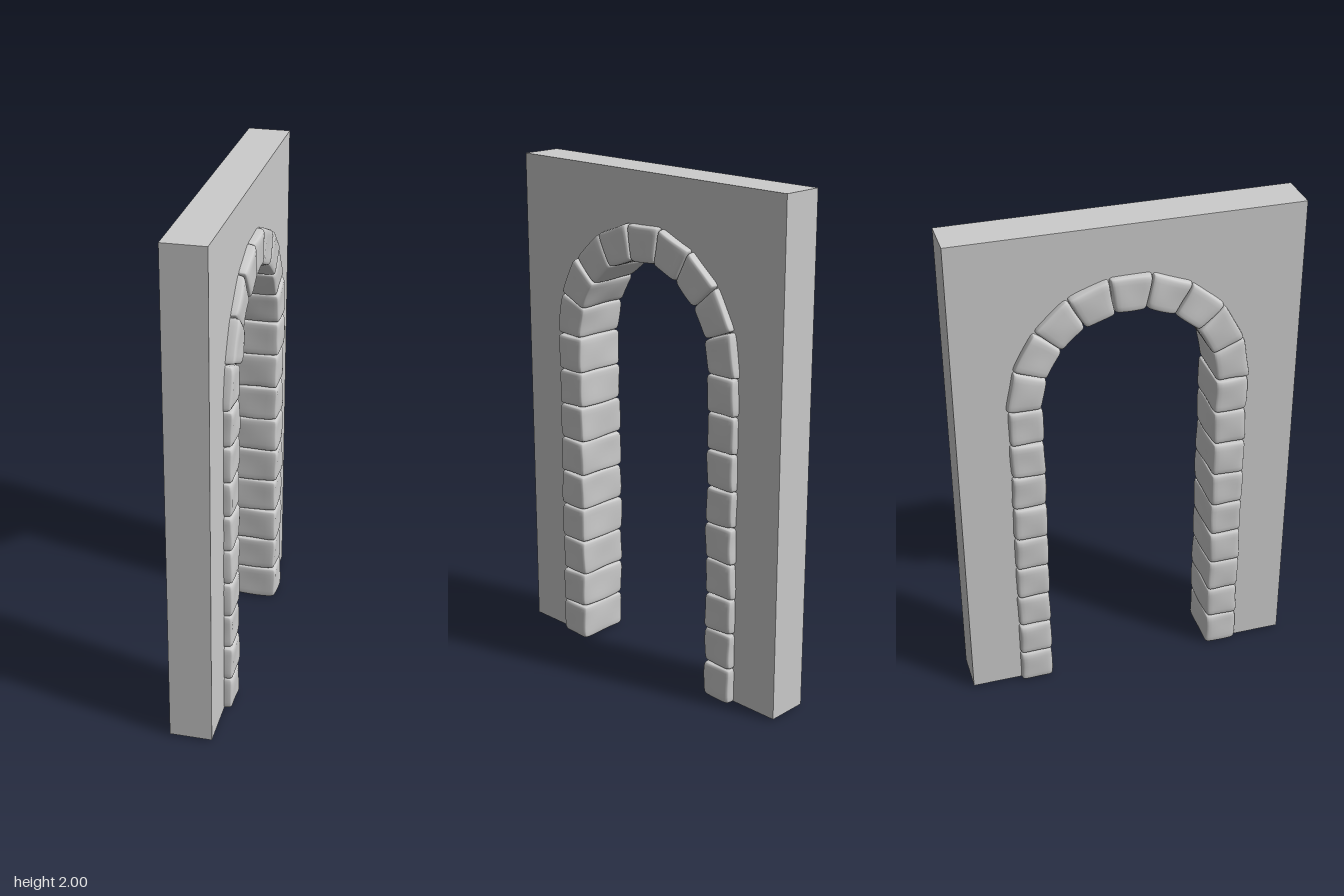
import * as THREE from 'three';
import { mergeVertices } from 'three/addons/utils/BufferGeometryUtils.js';

const material = new THREE.MeshStandardMaterial({ color: 0xcccccc });
const RADIUS = 0.4;      // centre line of the stones
const STRETCH = 1.06;    // the arch is slightly taller than a half circle
const SPRING = 1.31;     // height where the arch starts
const COUNT = 9;         // stones per jamb and in the arch

// Small seeded generator, returns -1..1
let seed = 7;
function jitter() {
  seed = (seed * 16807) % 2147483647;
  return (seed / 2147483647) * 2 - 1;
}

// Pillowed cube of half size 1 with a hand-hewn surface;
// place(x, along, out) maps each point to its position
function stone(name, place) {
  const geo = new THREE.BoxGeometry(2, 2, 2, 10, 10, 10);
  geo.deleteAttribute('normal');
  geo.deleteAttribute('uv');
  const merged = mergeVertices(geo, 1e-4);
  const pos = merged.attributes.position;
  const p = new THREE.Vector3();
  const n = 11;
  const a = jitter() * 3, b = jitter() * 3, c = jitter() * 3;
  const shift = jitter() * 0.025, widen = 0.99 + jitter() * 0.025;
  for (let i = 0; i < pos.count; i++) {
    p.fromBufferAttribute(pos, i);
    // crowd the points toward the edges, then round the edges
    p.set(...p.toArray().map((v) => Math.sin(v * Math.PI / 2)));
    const len = Math.abs(p.x) ** n + Math.abs(p.y) ** n + Math.abs(p.z) ** n;
    p.multiplyScalar(len ** (-1 / n));
    const { x, y, z } = p;
    const px = x * widen + shift + 0.02 * Math.sin(2.5 * y + a) * Math.cos(2 * z + b);
    const py = y + 0.03 * Math.sin(3 * x + b) * Math.cos(2 * z + c);
    const pz = z + 0.035 * Math.sin(2.8 * x + c) * Math.cos(2 * y + a);
    pos.setXYZ(i, ...place(px, py, pz));
  }
  merged.computeVertexNormals();
  const mesh = new THREE.Mesh(merged, material);
  mesh.name = name;
  return mesh;
}

// Wall slab with an arched doorway, its edge hidden inside the stones
function wall() {
  const shape = new THREE.Shape();
  shape.moveTo(-0.665, 0.01);
  shape.lineTo(-RADIUS, 0.01);
  shape.lineTo(-RADIUS, SPRING);
  shape.absellipse(0, SPRING, RADIUS, RADIUS * STRETCH, Math.PI, 0, true);
  shape.lineTo(RADIUS, 0.01);
  shape.lineTo(0.665, 0.01);
  shape.lineTo(0.665, 2);
  shape.lineTo(-0.665, 2);
  shape.closePath();
  const geo = new THREE.ExtrudeGeometry(shape, { depth: 0.165, bevelEnabled: false, curveSegments: 32 });
  geo.translate(0, 0, -0.08);
  geo.rotateY(-Math.PI / 2);
  const mesh = new THREE.Mesh(geo, material);
  mesh.name = 'wall';
  return mesh;
}

export function createModel() {
  const group = new THREE.Group();
  group.name = 'stoneArchway';
  group.add(wall());

  const halfX = 0.114, halfOut = 0.066;

  // Straight jambs on both sides
  const pitch = (SPRING - 0.005) / COUNT;
  for (const side of [-1, 1]) {
    const jamb = new THREE.Group();
    jamb.name = side > 0 ? 'frontJamb' : 'backJamb';
    for (let i = 0; i < COUNT; i++) {
      const mid = 0.005 + (i + 0.5) * pitch;
      jamb.add(stone('jambStone', (x, along, out) => [
        // the sign on x keeps the faces outward on both sides
        side * x * halfX,
        Math.max(0, mid + along * pitch * 0.5),
        side * (RADIUS + out * halfOut),
      ]));
    }
    group.add(jamb);
  }

  // Wedge-shaped arch stones, keystone in the middle
  const arch = new THREE.Group();
  arch.name = 'arch';
  const step = Math.PI / COUNT;
  for (let i = 0; i < COUNT; i++) {
    const angle = (i + 0.5) * step;
    const cos = Math.cos(angle), sin = Math.sin(angle);
    arch.add(stone(i === (COUNT - 1) / 2 ? 'keystone' : 'archStone', (x, along, out) => {
      const r = RADIUS + out * halfOut;
      const t = along * r * Math.tan(step / 2);
      return [x * halfX, SPRING + STRETCH * (r * sin + t * cos), r * cos - t * sin];
    }));
  }
  group.add(arch);
  return group;
}
